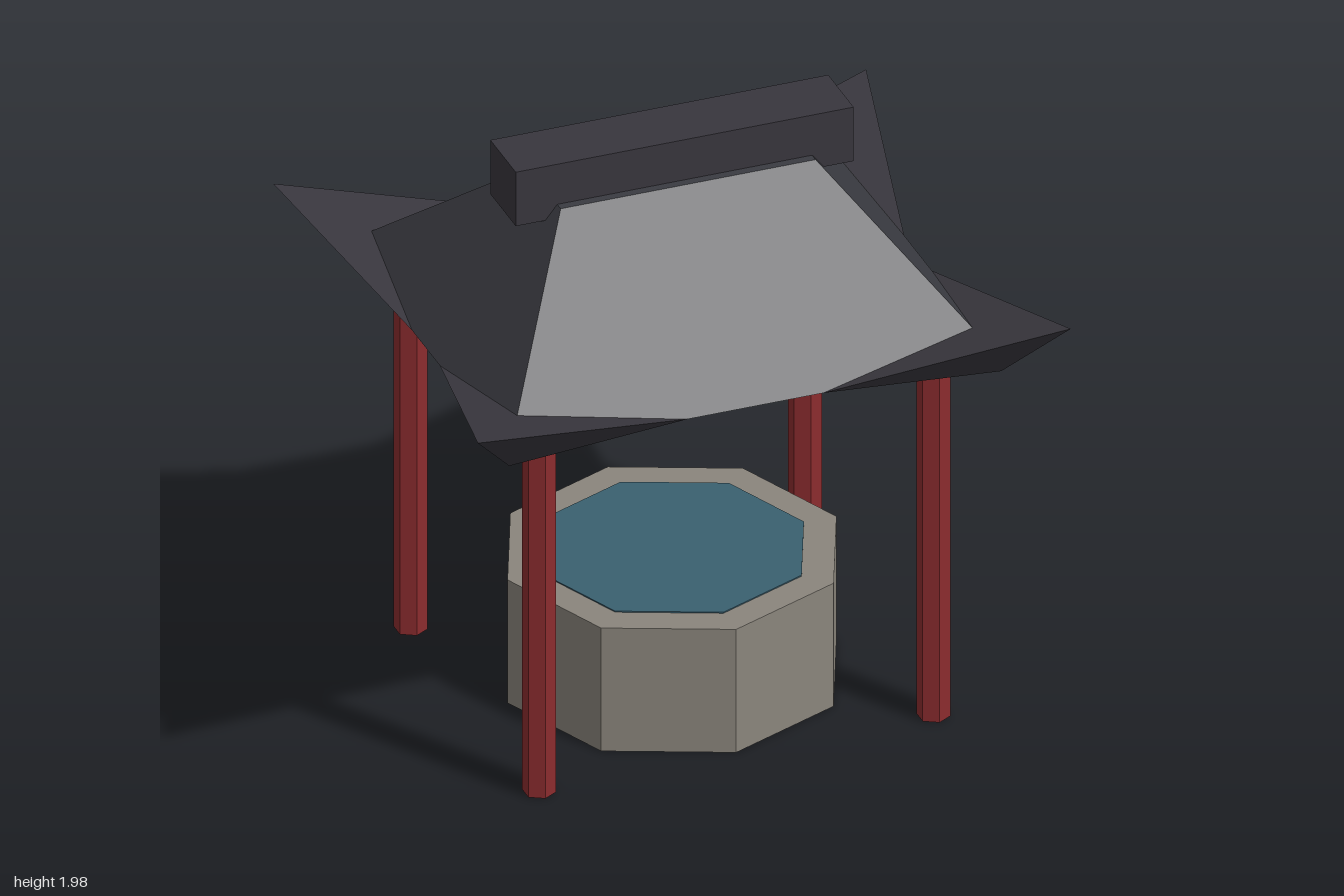
import * as THREE from 'three';

const paint = (name, color) => {
  const m = new THREE.MeshStandardMaterial({ color });
  m.name = name;
  return m;
};

// Flat-sided solid from corner points and triangles; each triangle is turned to face outward.
function solid(points, faces) {
  const p = points.map((q) => new THREE.Vector3(...q));
  const mid = p.reduce((s, q) => s.add(q), new THREE.Vector3()).divideScalar(p.length);
  const pos = [];
  for (const [a, b, c] of faces) {
    const n = p[b].clone().sub(p[a]).cross(p[c].clone().sub(p[a]));
    const outward = n.dot(p[a].clone().sub(mid)) > 0;
    for (const i of outward ? [a, b, c] : [a, c, b]) pos.push(...p[i].toArray());
  }
  const g = new THREE.BufferGeometry();
  g.setAttribute('position', new THREE.Float32BufferAttribute(pos, 3));
  g.computeVertexNormals();
  return g;
}

// Cylinder with separate flat sides
function prism(radius, height, sides) {
  const g = new THREE.CylinderGeometry(radius, radius, height, sides).toNonIndexed();
  g.computeVertexNormals();
  return g;
}

export function createModel() {
  const model = new THREE.Group();
  const stone = paint('stone', 0x8a857c);
  const water = paint('water', 0x3a6070);
  const red = paint('red wood', 0x8b2c2e);
  const tile = paint('roof tile', 0x3a3b41);
  const ridgeTile = paint('ridge tile', 0x38363d);

  const add = (name, geometry, material, x = 0, y = 0, z = 0) => {
    const mesh = new THREE.Mesh(geometry, material);
    mesh.name = name;
    mesh.position.set(x, y, z);
    model.add(mesh);
  };

  // Stone basin and its water surface
  add('basin', prism(0.555, 0.445, 8), stone, 0, 0.2225, 0);
  add('waterSurface', prism(0.445, 0.008, 8), water, 0, 0.445, 0);

  // Main hipped roof: rectangular frustum
  const ring = (x, y, z) => [[-x, y, -z], [x, y, -z], [x, y, z], [-x, y, z]];
  const faces = [[0, 1, 2], [0, 2, 3], [4, 5, 6], [4, 6, 7]];
  for (let i = 0; i < 4; i++) {
    const j = (i + 1) % 4;
    faces.push([i, j, j + 4], [i, j + 4, i + 4]);
  }
  add('roof', solid([...ring(0.83, 1.34, 0.72), ...ring(0.43, 1.835, 0.14)], faces), tile);

  // Ridge beam
  add('ridge', new THREE.BoxGeometry(1.14, 0.195, 0.22), ridgeTile, 0, 1.8825, 0);

  // Posts and upturned eave corners
  const post = prism(0.054, 1.34, 6);
  for (const sx of [-1, 1]) {
    for (const sz of [-1, 1]) {
      add('post', post, red, sx * 0.665, 0.67, sz * 0.556);
      const corner = [[1, 1.5, 0.885], [0.83, 1.295, 0.72], [0.23, 1.34, 0.72], [0.83, 1.34, 0.12]]
        .map(([x, y, z]) => [sx * x, y, sz * z]);
      add('eaveCorner', solid(corner, [[0, 1, 2], [0, 1, 3], [0, 2, 3], [1, 2, 3]]), ridgeTile);
    }
  }
  return model;
}
